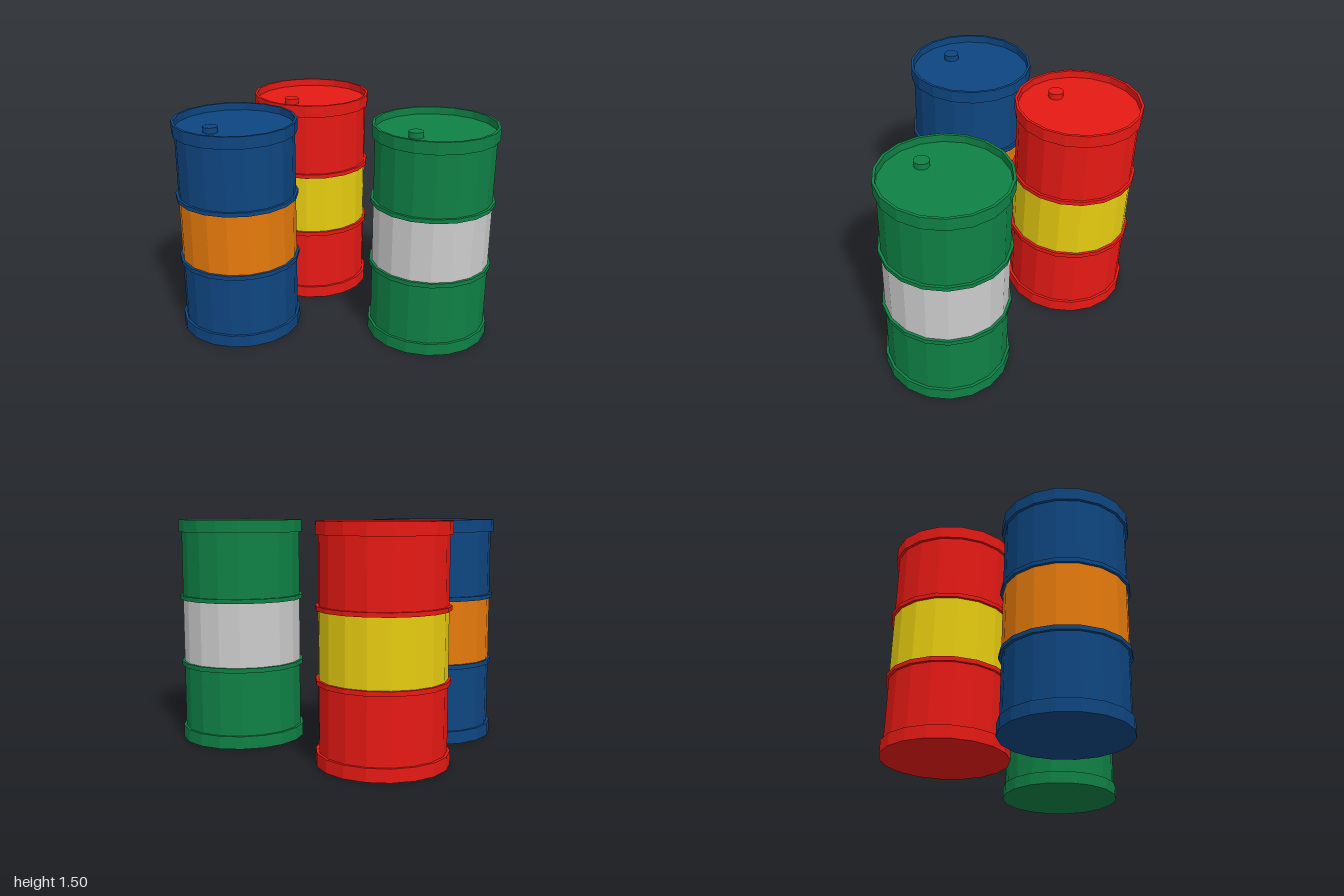
import * as THREE from 'three';

const SIDES = 18;
const R = 0.42;      // rims and hoops
const BODY = 0.402;  // drum wall

const paint = (color) => new THREE.MeshStandardMaterial({ color, flatShading: true });

// Faceted turned part; the profile runs from bottom to top
function turned(name, profile, material) {
  const points = profile.map(([r, y]) => new THREE.Vector2(r, y));
  const mesh = new THREE.Mesh(new THREE.LatheGeometry(points, SIDES), material);
  mesh.name = name;
  return mesh;
}

function createDrum(name, x, z, mainColor, bandColor) {
  const drum = new THREE.Group();
  drum.name = name;
  drum.position.set(x, 0, z);
  const main = paint(mainColor);

  // Closed bottom, foot rim, lower wall and lower hoop
  drum.add(turned('lowerShell', [
    [0, 0], [R, 0], [R, 0.085], [BODY, 0.085],
    [BODY, 0.51], [R, 0.51], [R, 0.54], [BODY, 0.54],
  ], main));

  // Contrasting middle band
  drum.add(turned('middleBand', [[BODY, 0.54], [BODY, 0.965]], paint(bandColor)));

  // Upper hoop, upper wall, top rim and recessed lid
  drum.add(turned('upperShell', [
    [BODY, 0.965], [R, 0.965], [R, 0.993], [BODY, 0.993],
    [BODY, 1.42], [R, 1.42], [R, 1.502], [BODY, 1.502],
    [BODY, 1.452], [0, 1.452],
  ], main));

  // Filler cap near the front of the lid
  const cap = new THREE.Mesh(new THREE.CylinderGeometry(0.05, 0.05, 0.04, SIDES), main);
  cap.name = 'fillerCap';
  cap.position.set(0, 1.472, 0.202);
  drum.add(cap);
  return drum;
}

export function createModel() {
  const model = new THREE.Group();
  model.name = 'drums';
  model.add(
    createDrum('redDrum', -0.586, -0.434, 0xe61914, 0xe6cc10),
    createDrum('greenDrum', 0.585, -0.431, 0x0f8045, 0xcccccc),
    createDrum('blueDrum', -0.427, 0.432, 0x0e4580, 0xe67a0c),
  );
  return model;
}
